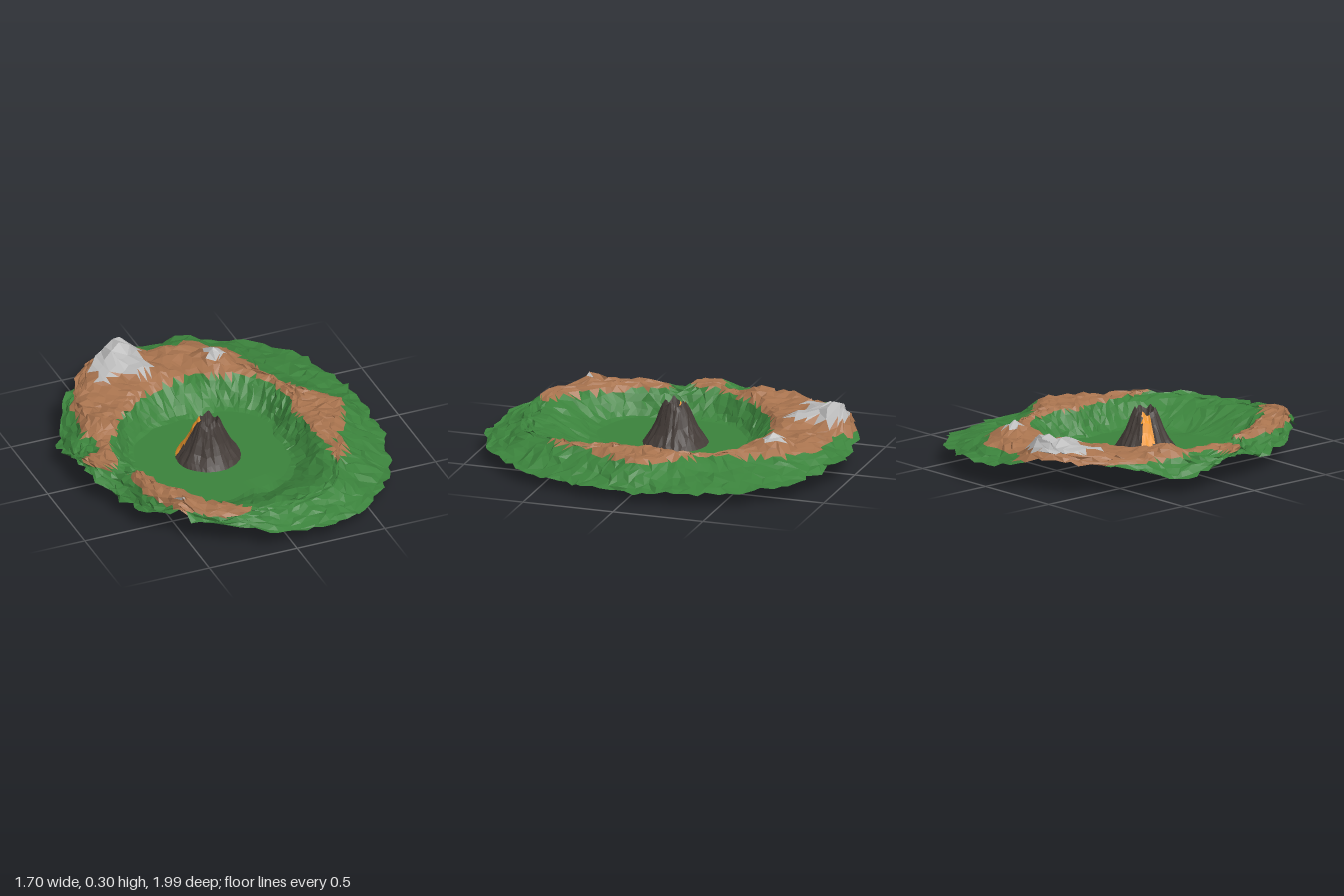
import * as THREE from 'three';

const COLORS = { grass: 0x3b833c, soil: 0xa8734e, rock: 0xbababa, basalt: 0x443c38, lava: 0xf0982e };

// Repeatable noise in -1..1 for a pair of grid indices
function noise(i, j, seed = 0) {
  const s = Math.sin(i * 127.1 + j * 311.7 + seed * 74.7) * 43758.5453;
  return (s - Math.floor(s)) * 2 - 1;
}
const lerp = THREE.MathUtils.lerp;
const smooth = (t) => t * t * (3 - 2 * t);

// Builds a faceted surface of concentric rings; classify() names the part of each face
function ringSurface(rings, segs, point, classify) {
  const parts = {};
  const grid = [];
  for (let i = 0; i <= rings; i++) {
    grid.push([]);
    for (let j = 0; j < segs; j++) grid[i].push(point(i, j));
  }
  const face = (a, b, c) => {
    const mid = new THREE.Vector3().add(a).add(b).add(c).divideScalar(3);
    const name = classify(mid);
    (parts[name] ??= []).push(...a.toArray(), ...b.toArray(), ...c.toArray());
  };
  for (let i = 0; i < rings; i++) {
    for (let j = 0; j < segs; j++) {
      const k = (j + 1) % segs;
      const [a, b, c, d] = [grid[i][j], grid[i][k], grid[i + 1][j], grid[i + 1][k]];
      if (i === 0) face(a, d, c);
      else if (noise(i, j, 9) > 0) { face(a, b, c); face(b, d, c); }
      else { face(a, b, d); face(a, d, c); }
    }
  }
  const group = new THREE.Group();
  for (const [name, coords] of Object.entries(parts)) {
    const geo = new THREE.BufferGeometry();
    geo.setAttribute('position', new THREE.Float32BufferAttribute(coords, 3));
    geo.computeVertexNormals();
    const mat = new THREE.MeshStandardMaterial({ color: COLORS[name], flatShading: true, side: THREE.DoubleSide });
    const mesh = new THREE.Mesh(geo, mat);
    mesh.name = name;
    group.add(mesh);
  }
  return group;
}

// Valley profile every 22.5 degrees from +x towards +z:
// floor radius, shoulder radius, brow radius, ridge height, edge radius, edge height
const PROFILE = [
  [0.29, 0.44, 0.65, 0.188, 0.83, 0.065],
  [0.32, 0.48, 0.59, 0.185, 0.85, 0.06],
  [0.38, 0.62, 0.67, 0.174, 0.94, 0.065],
  [0.42, 0.74, 0.80, 0.145, 1.00, 0.08],
  [0.42, 0.76, 0.82, 0.140, 0.985, 0.09],
  [0.52, 0.80, 0.87, 0.183, 0.90, 0.14],
  [0.56, 0.69, 0.80, 0.192, 0.85, 0.13],
  [0.52, 0.63, 0.68, 0.182, 0.79, 0.085],
  [0.48, 0.68, 0.79, 0.182, 0.82, 0.16],
  [0.47, 0.60, 0.72, 0.192, 0.87, 0.08],
  [0.42, 0.57, 0.80, 0.198, 0.88, 0.165],
  [0.36, 0.57, 0.89, 0.203, 0.935, 0.17],
  [0.32, 0.58, 0.80, 0.190, 0.985, 0.12],
  [0.36, 0.56, 0.72, 0.192, 0.97, 0.10],
  [0.36, 0.55, 0.57, 0.170, 0.95, 0.085],
  [0.34, 0.48, 0.53, 0.178, 0.87, 0.07],
];

// Local hills and hollows: x, z, height, radius
const HILLS = [
  [-0.24, -0.82, 0.10, 0.08], [-0.36, -0.73, 0.05, 0.13], [-0.21, -0.64, 0.035, 0.08],
  [0.20, -0.62, 0.05, 0.07], [0.18, -0.85, 0.03, 0.09],
  [-0.60, -0.26, 0.04, 0.055], [-0.52, 0.66, 0.05, 0.06],
  [-0.73, -0.12, -0.04, 0.08], [-0.65, 0.18, -0.035, 0.06],
  [0.08, 0.48, -0.02, 0.07], [0, -0.32, -0.04, 0.025],
];

function profileAt(angle) {
  const n = PROFILE.length;
  const u = (angle / (Math.PI * 2)) * n;
  const i = Math.floor(u);
  const a = PROFILE[i % n], b = PROFILE[(i + 1) % n];
  return a.map((v, k) => lerp(v, b[k], smooth(u - i)));
}

// Valley floor, inner wall, ridge and falling outer skirt, coloured by height
function makeTerrain() {
  const FLOOR = 0.04, segs = 120;
  const wallStart = 5, ridgeStart = 11, skirtStart = 16, rings = 22;
  const point = (i, j) => {
    const wobble = i > wallStart ? 0.42 : 0;
    const angle = ((j + noise(i, j, 1) * wobble) / segs) * Math.PI * 2;
    const [floorR, shoulderR, browR, ridgeH, edgeR, edgeH] = profileAt((angle + Math.PI * 2) % (Math.PI * 2));
    let r, y, rough;
    if (i <= wallStart) {
      r = (floorR * i) / wallStart;
      y = FLOOR;
      rough = 0;
    } else if (i <= ridgeStart) {
      const t = (i - wallStart) / (ridgeStart - wallStart);
      r = lerp(floorR, shoulderR, t);
      y = lerp(FLOOR, ridgeH, smooth(t));
      rough = 0.5 + 0.4 * t;
    } else if (i <= skirtStart) {
      r = lerp(shoulderR, browR, (i - ridgeStart) / (skirtStart - ridgeStart));
      y = ridgeH;
      rough = 1;
    } else {
      const t = (i - skirtStart) / (rings - skirtStart);
      r = lerp(browR, edgeR, t);
      y = lerp(ridgeH, edgeH, 1 - (1 - t) ** 1.4);
      rough = 0.8;
    }
    // Ragged outer edge
    r += noise(i, j, 2) * (i === rings ? 0.022 : 0.013 * rough);
    const x = r * Math.cos(angle), z = r * Math.sin(angle);
    y += rough * (noise(i, j, 3) * 0.01 + 0.01 * Math.sin(19 * x + 1) * Math.sin(17 * z + 2));
    for (const [hx, hz, h, w] of HILLS) {
      y += h * Math.exp(-((x - hx) ** 2 + (z - hz) ** 2) / (w * w));
    }
    return new THREE.Vector3(x, Math.max(y, 0), z);
  };
  const classify = (p) => (p.y > 0.222 ? 'rock' : p.y > 0.167 ? 'soil' : 'grass');
  const terrain = ringSurface(rings, segs, point, classify);
  terrain.name = 'terrain';
  return terrain;
}

// Ribbed cone with a jagged crater and a lava stream down one flank
function makeVolcano() {
  const profile = [
    [0, 0.17], [0.028, 0.19], [0.042, 0.225], [0.054, 0.264], [0.068, 0.24],
    [0.084, 0.198], [0.104, 0.15], [0.128, 0.105], [0.155, 0.065], [0.18, 0.032],
  ];
  const segs = 44, rim = 3, last = profile.length - 1;
  const flow = Math.PI * 1.19;
  const point = (i, j) => {
    const a = (j / segs) * Math.PI * 2;
    let [r, y] = profile[i];
    if (i > 0 && i < last) {
      const away = 1 - Math.abs(i - rim) / 7;
      r *= 1 + 0.05 * noise(0, j, 4) + 0.035 * noise(i, j, 5);
      y += (0.014 * Math.sin(a * 5 + 1) + 0.006 * noise(Math.floor(j / 2), 0, 6)) * away;
      // Breach in the rim where the lava spills out
      if (i >= 2 && i <= 4) y -= 0.035 * Math.exp(-(((a - flow) / 0.3) ** 2));
    }
    return new THREE.Vector3(r * Math.cos(a), y, r * Math.sin(a));
  };
  // Lava covers the crater floor and a widening strip outside the breach
  const classify = (p) => {
    const along = p.x * Math.cos(flow) + p.z * Math.sin(flow);
    const across = Math.abs(p.z * Math.cos(flow) - p.x * Math.sin(flow));
    const exposed = along > 0.04 || p.y < 0.2;
    return exposed && along > -0.01 && across < 0.012 + 0.17 * along ? 'lava' : 'basalt';
  };
  const volcano = ringSurface(last, segs, point, classify);
  volcano.name = 'volcano';
  volcano.position.set(-0.1, 0, 0.03);
  return volcano;
}

export function createModel() {
  const model = new THREE.Group();
  model.name = 'volcanoValley';
  model.add(makeTerrain(), makeVolcano());
  return model;
}
